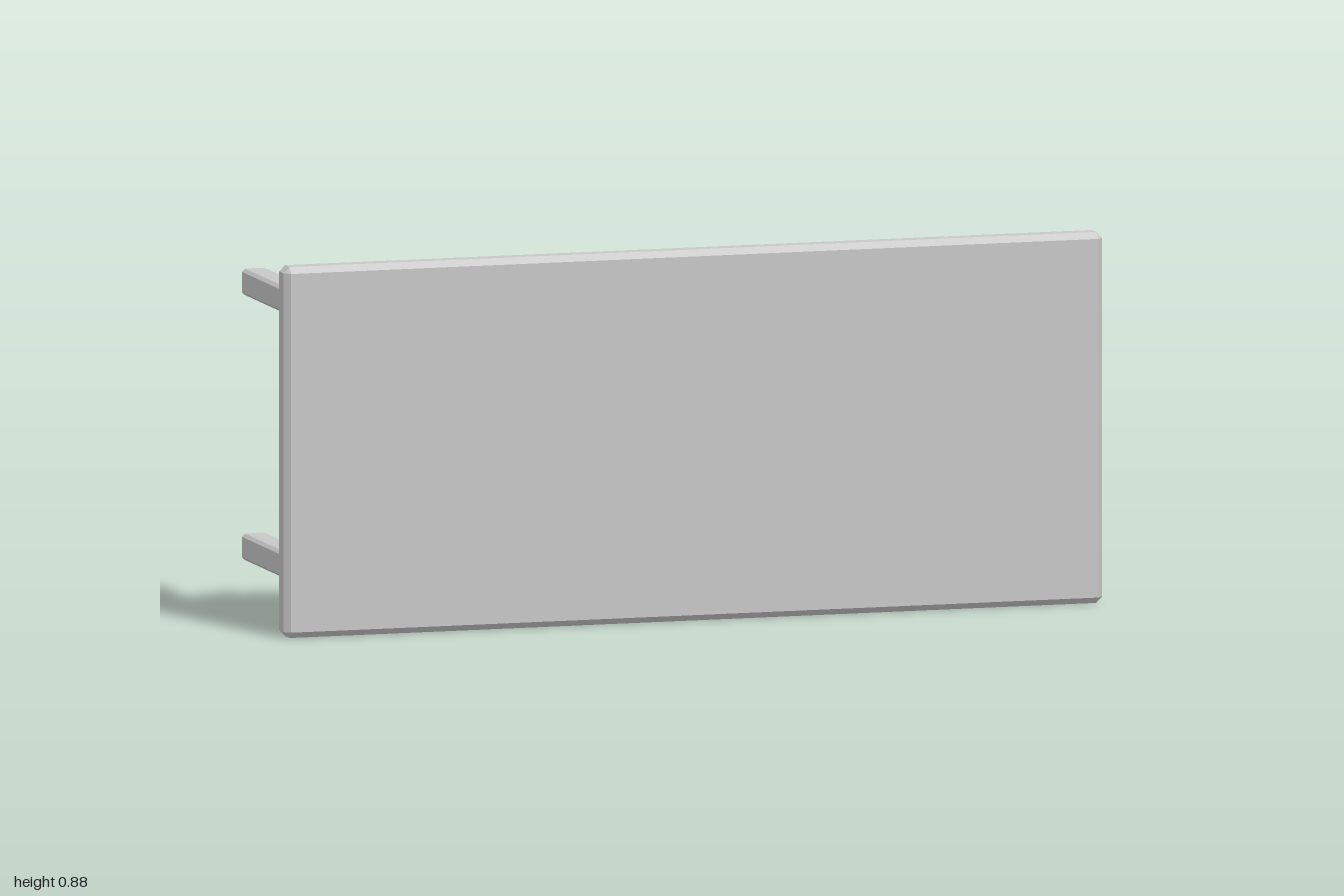
import * as THREE from 'three';
import { ConvexGeometry } from 'three/addons/geometries/ConvexGeometry.js';

// Box with flat chamfers of size c along every edge
function chamferedBox(w, h, d, c) {
  const half = [w / 2, h / 2, d / 2];
  const points = [];
  for (const sx of [-1, 1]) for (const sy of [-1, 1]) for (const sz of [-1, 1]) {
    for (let outer = 0; outer < 3; outer++) {
      const p = [sx, sy, sz].map((s, i) => s * (half[i] - (i === outer ? 0 : c)));
      points.push(new THREE.Vector3(...p));
    }
  }
  return new ConvexGeometry(points);
}

export function createModel() {
  const group = new THREE.Group();
  const grey = new THREE.MeshStandardMaterial({ color: 0xc7c7c7 });
  grey.name = 'light grey';

  const length = 2, width = 0.875, thick = 0.0625, depth = 0.656;
  const front = depth / 2, back = front - thick;

  // Table top, standing on its long edge
  const top = new THREE.Mesh(chamferedBox(length, width, thick, 0.0145), grey);
  top.name = 'tableTop';
  top.position.set(0, width / 2, front - thick / 2);
  group.add(top);

  // Four legs pointing backwards, sunk slightly into the top
  const sunk = 0.02;
  const legLength = back + front + sunk;
  const legGeometry = chamferedBox(thick, thick, legLength, 0.0075);
  for (const sx of [-1, 1]) for (const sy of [-1, 1]) {
    const leg = new THREE.Mesh(legGeometry, grey);
    leg.name = (sy > 0 ? 'upper' : 'lower') + (sx > 0 ? 'Left' : 'Right') + 'Leg';
    leg.position.set(sx * 0.875, width / 2 + sy * 0.3125, -front + legLength / 2);
    group.add(leg);
  }
  return group;
}
